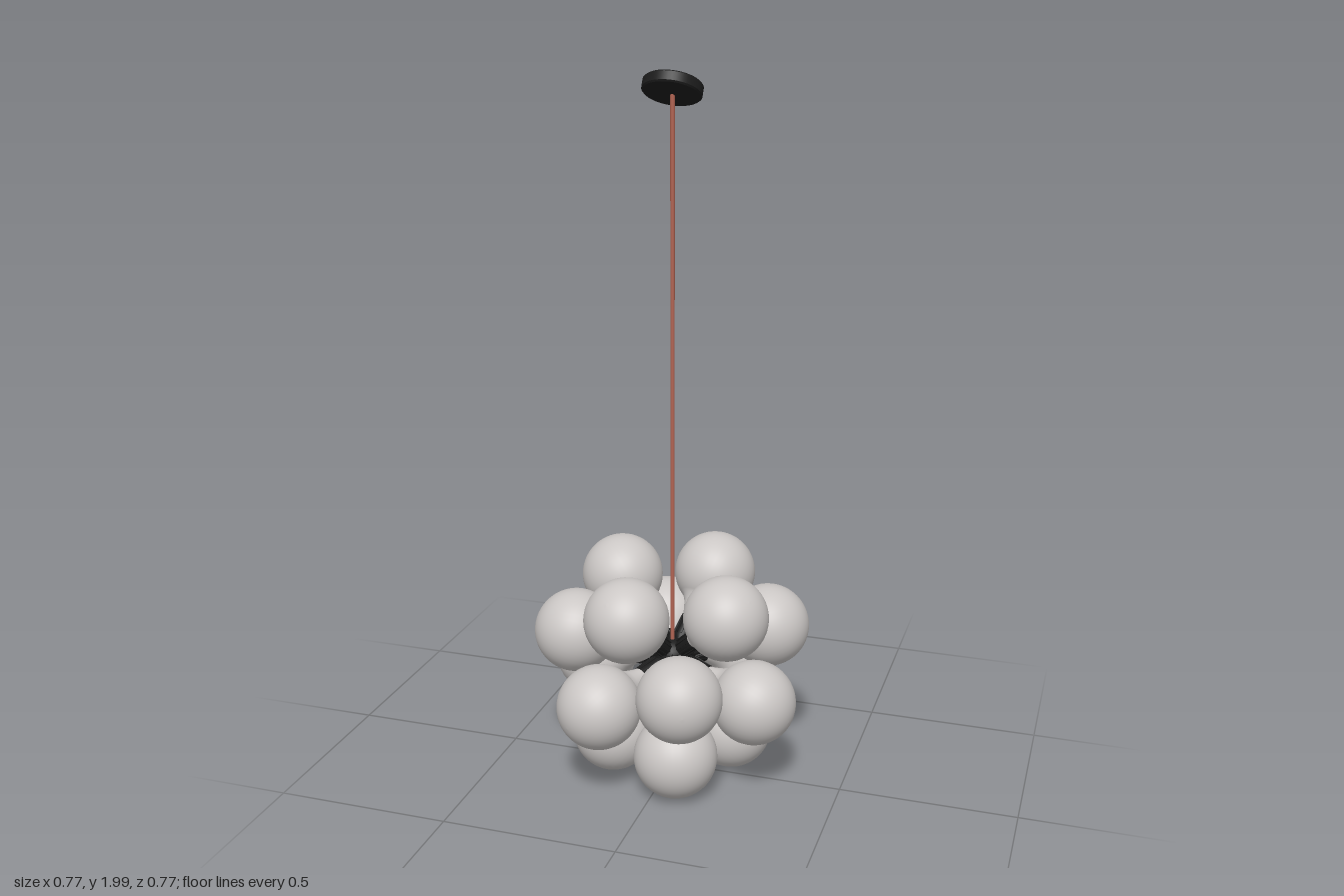
import * as THREE from 'three';

export function createModel() {
  const glass = new THREE.MeshStandardMaterial({ color: 0xcbc7c5 });
  glass.name = 'pale grey glass';
  const black = new THREE.MeshStandardMaterial({ color: 0x1c1c1c });
  black.name = 'black metal';
  const copper = new THREE.MeshStandardMaterial({ color: 0xb06352 });
  copper.name = 'copper';

  const model = new THREE.Group();
  model.name = 'pendantLamp';
  const add = (parent, name, geometry, material) => {
    const mesh = new THREE.Mesh(geometry, material);
    mesh.name = name;
    parent.add(mesh);
    return mesh;
  };
  const V = (x, y) => new THREE.Vector2(x, y);

  // Globe bulb profile along +y, measured from the hub: neck, flare, then sphere
  const R = 0.118, D = 0.288;
  const profile = [V(0.02, 0.1), V(0.025, 0.12), V(0.031, 0.14), V(0.041, 0.164)];
  const start = Math.asin(0.054 / R);
  for (let i = 0; i <= 28; i++) {
    const a = start + (Math.PI - start) * i / 28;
    profile.push(V(Math.max(R * Math.sin(a), 0), D - R * Math.cos(a)));
  }
  const bulbGeometry = new THREE.LatheGeometry(profile, 40);

  // Socket: tapered stem widening to a ribbed open cup
  const socketGeometry = new THREE.LatheGeometry([
    V(0.016, 0), V(0.016, 0.05), V(0.024, 0.058), V(0.028, 0.125), V(0.025, 0.125), V(0.02, 0.1), V(0, 0.1)
  ], 24);
  const ribGeometry = new THREE.BoxGeometry(0.004, 0.06, 0.004);

  // Half of the bulb centres; each is repeated half a turn around the rod
  const hubY = 0.355;
  const centres = [
    [0.19, 0.54, 0.113], [-0.065, 0.54, 0.21],
    [0.257, 0.442, -0.1], [0.105, 0.355, 0.27],
    [-0.137, 0.285, 0.245], [0.266, 0.285, 0.087],
    [0.061, 0.119, 0.163], [0.163, 0.119, -0.061]
  ];
  const up = new THREE.Vector3(0, 1, 0);
  for (const [x, y, z] of centres) {
    for (const s of [1, -1]) {
      const arm = new THREE.Group();
      arm.name = 'lampArm';
      arm.position.y = hubY;
      arm.quaternion.setFromUnitVectors(up, new THREE.Vector3(s * x, y - hubY, s * z).normalize());
      add(arm, 'bulb', bulbGeometry, glass);
      add(arm, 'socket', socketGeometry, black);
      for (let i = 0; i < 12; i++) {
        const a = i * Math.PI / 6;
        const rib = add(arm, 'socketRib', ribGeometry, black);
        rib.position.set(Math.sin(a) * 0.027, 0.093, Math.cos(a) * 0.027);
        rib.rotation.y = a;
      }
      model.add(arm);
    }
  }

  // Central hub and hanging rod
  add(model, 'hub', new THREE.SphereGeometry(0.05, 24, 16), black).position.y = hubY;
  const rodTop = 1.972;
  add(model, 'rod', new THREE.CylinderGeometry(0.006, 0.006, rodTop - hubY, 16), copper)
    .position.y = (rodTop + hubY) / 2;

  // Tilted ceiling canopy with softened rims
  const r = 0.08, h = 0.016, b = 0.004;
  const canopy = add(model, 'canopy', new THREE.LatheGeometry([
    V(0, -h), V(r - b, -h), V(r - b, -h), V(r, -h + b), V(r, -h + b),
    V(r, h - b), V(r, h - b), V(r - b, h), V(r - b, h), V(0, h)
  ], 48), black);
  canopy.position.y = 1.949;
  canopy.rotation.x = -0.49;

  return model;
}
